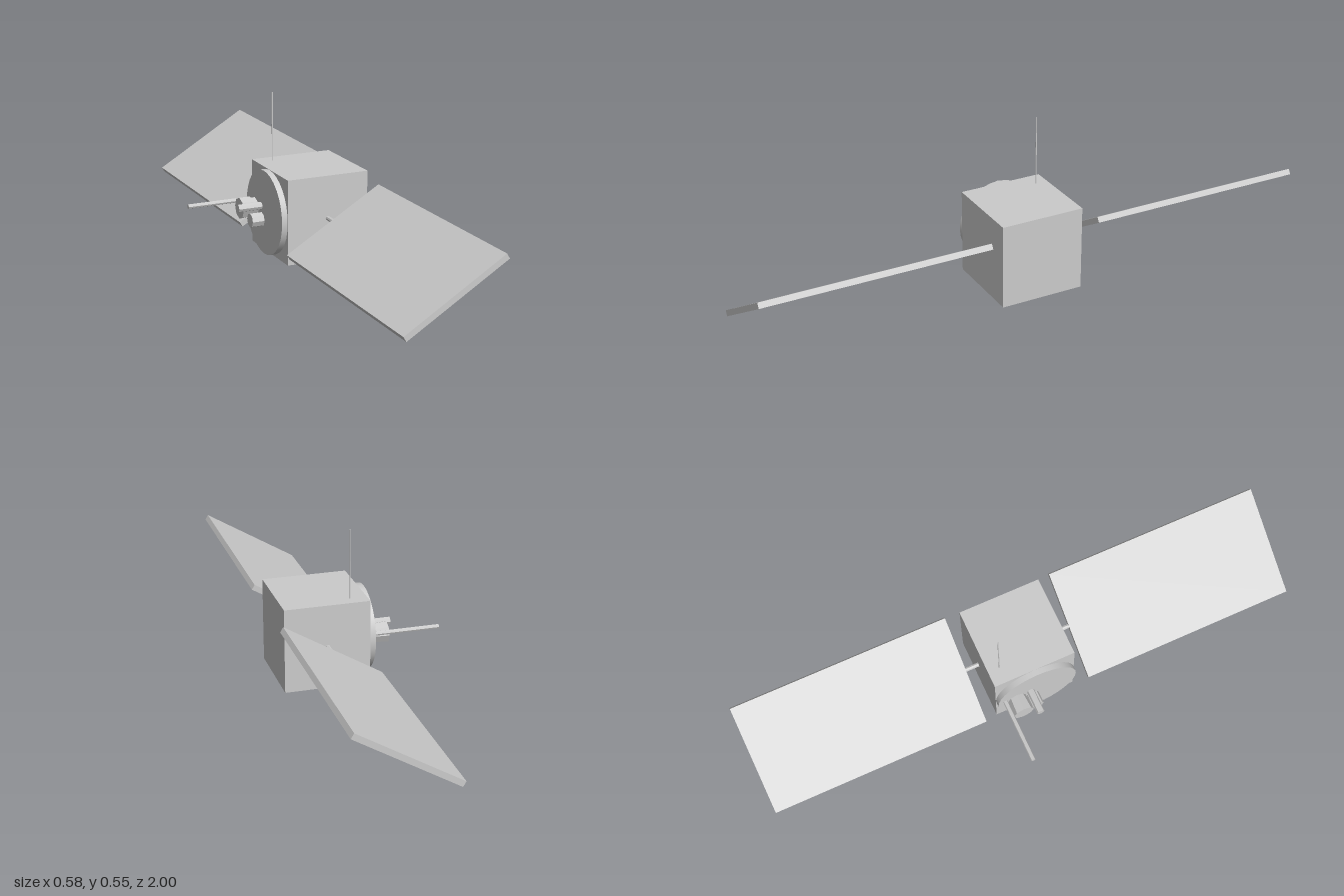
import * as THREE from 'three';

const smooth = new THREE.MeshStandardMaterial({ color: 0xcccccc });
const faceted = new THREE.MeshStandardMaterial({ color: 0xcccccc, flatShading: true });

const CX = 0.113, CY = 0.15; // centre of the body
const DISC_FACE = -0.058;    // outer face of the dish plate

export function createModel() {
  const model = new THREE.Group();
  model.name = 'satellite';

  const add = (name, geometry, x, y, z, material = faceted) => {
    const mesh = new THREE.Mesh(geometry, material);
    mesh.name = name;
    mesh.position.set(x, y, z);
    model.add(mesh);
    return mesh;
  };

  // Cylinder lying along x, from xStart out to xEnd (towards -x)
  const addPeg = (name, xStart, xEnd, y, z, rBase, rTip, sides = 8, material = faceted) => {
    const geometry = new THREE.CylinderGeometry(rTip, rBase, xStart - xEnd, sides);
    geometry.rotateZ(Math.PI / 2);
    return add(name, geometry, (xStart + xEnd) / 2, y, z, material);
  };

  // Body
  add('body', new THREE.BoxGeometry(0.3, 0.3, 0.3), CX, CY, 0);

  // Round plate on the side with its instruments
  addPeg('roundPlate', -0.037, DISC_FACE, CY, 0, 0.149, 0.149, 32, smooth);
  addPeg('probeRod', DISC_FACE, -0.291, 0.166, -0.122, 0.008, 0.008);
  addPeg('hornInstrument', DISC_FACE, -0.117, CY, -0.078, 0.033, 0.038);
  addPeg('upperInstrument', DISC_FACE, -0.145, 0.167, -0.026, 0.0137, 0.0137);
  addPeg('lowerInstrument', DISC_FACE, -0.102, 0.12, -0.02, 0.025, 0.025);

  // Antenna mast
  add('antenna', new THREE.CylinderGeometry(0.002, 0.002, 0.245, 8), 0.022, 0.4225, -0.107);

  // Tilted solar panels and their struts
  for (const side of [1, -1]) {
    const panel = add('solarPanel', new THREE.BoxGeometry(0.4, 0.02, 0.8), CX, 0.151, side * 0.6);
    panel.rotation.z = THREE.MathUtils.degToRad(31);
    const strut = new THREE.CylinderGeometry(0.008, 0.008, 0.06, 8);
    strut.rotateX(Math.PI / 2);
    add('panelStrut', strut, CX, CY, side * 0.175);
  }
  return model;
}
